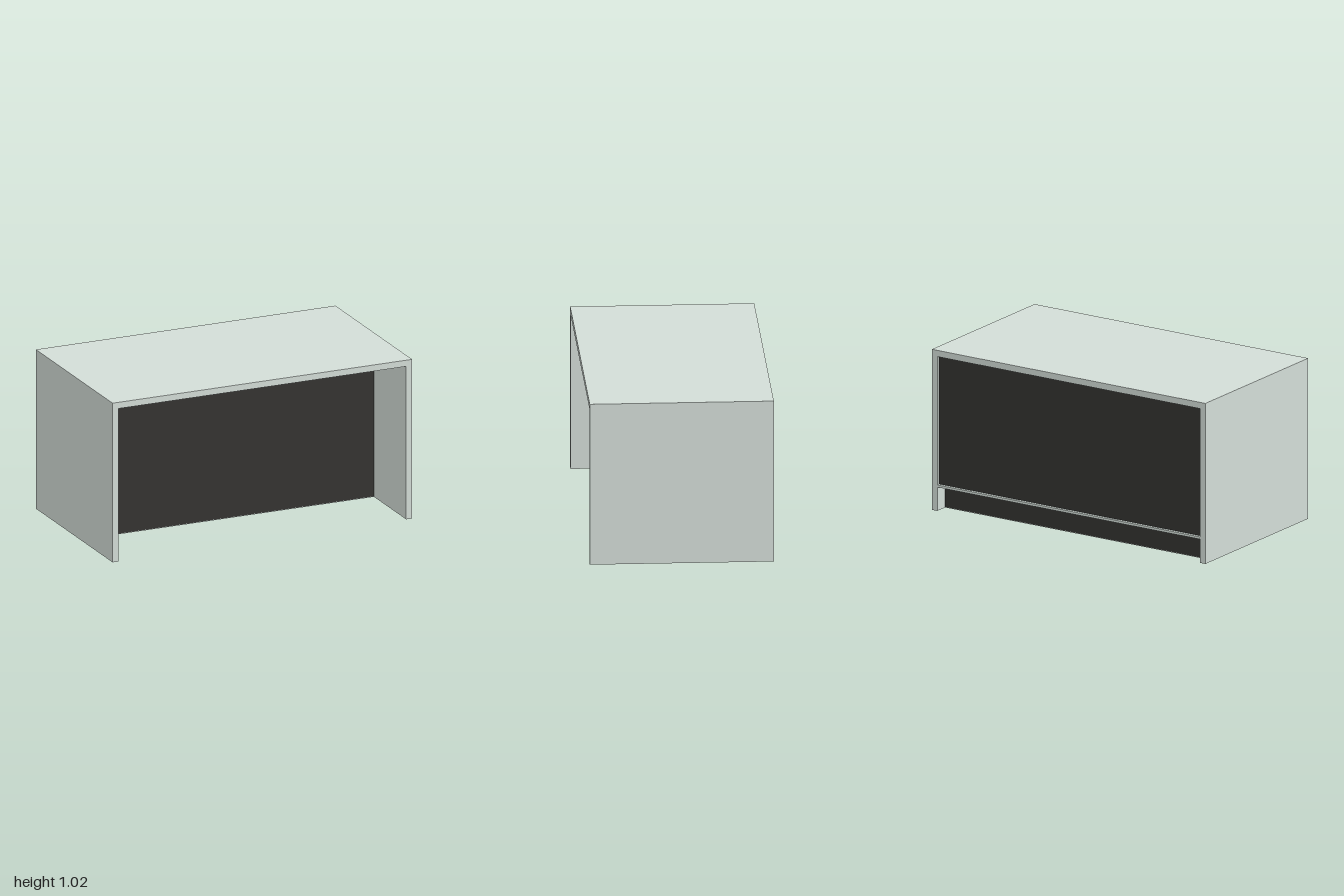
import * as THREE from 'three';

const light = new THREE.MeshStandardMaterial({ color: 0xd3ddd7 });
const dark = new THREE.MeshStandardMaterial({ color: 0x343331 });

// Box given by its extents [min, max] on each axis
function board(name, material, [x0, x1], [y0, y1], [z0, z1]) {
  const mesh = new THREE.Mesh(new THREE.BoxGeometry(x1 - x0, y1 - y0, z1 - z0), material);
  mesh.name = name;
  mesh.position.set((x0 + x1) / 2, (y0 + y1) / 2, (z0 + z1) / 2);
  return mesh;
}

export function createModel() {
  const group = new THREE.Group();
  group.name = 'counter';

  const H = 1.02, D = 0.56, T = 0.04;
  const inner = [-1 + T, 1 - T];
  const under = H - T;
  const frontZ = 0.09, doorZ = -0.54, kickZ = -0.476;

  // Outer shell: worktop and two full-depth side panels
  group.add(board('worktop', light, [-1, 1], [under, H], [-D, D]));
  group.add(board('rightSidePanel', light, [-1, -1 + T], [0, under], [-D, D]));
  group.add(board('leftSidePanel', light, [1 - T, 1], [0, under], [-D, D]));

  // Cabinet base and the ledge above the toe kick
  group.add(board('cabinetBase', light, inner, [0, 0.004], [kickZ, frontZ]));
  group.add(board('cabinetLedge', light, inner, [0.15, 0.165], [-D, frontZ - 0.02]));

  // Dark infill panels
  group.add(board('frontPanel', dark, inner, [0.004, under], [frontZ - 0.02, frontZ]));
  group.add(board('backPanel', dark, inner, [0.165, under], [doorZ, doorZ + 0.02]));
  group.add(board('toeKick', dark, inner, [0.004, 0.15], [kickZ, kickZ + 0.02]));

  return group;
}
